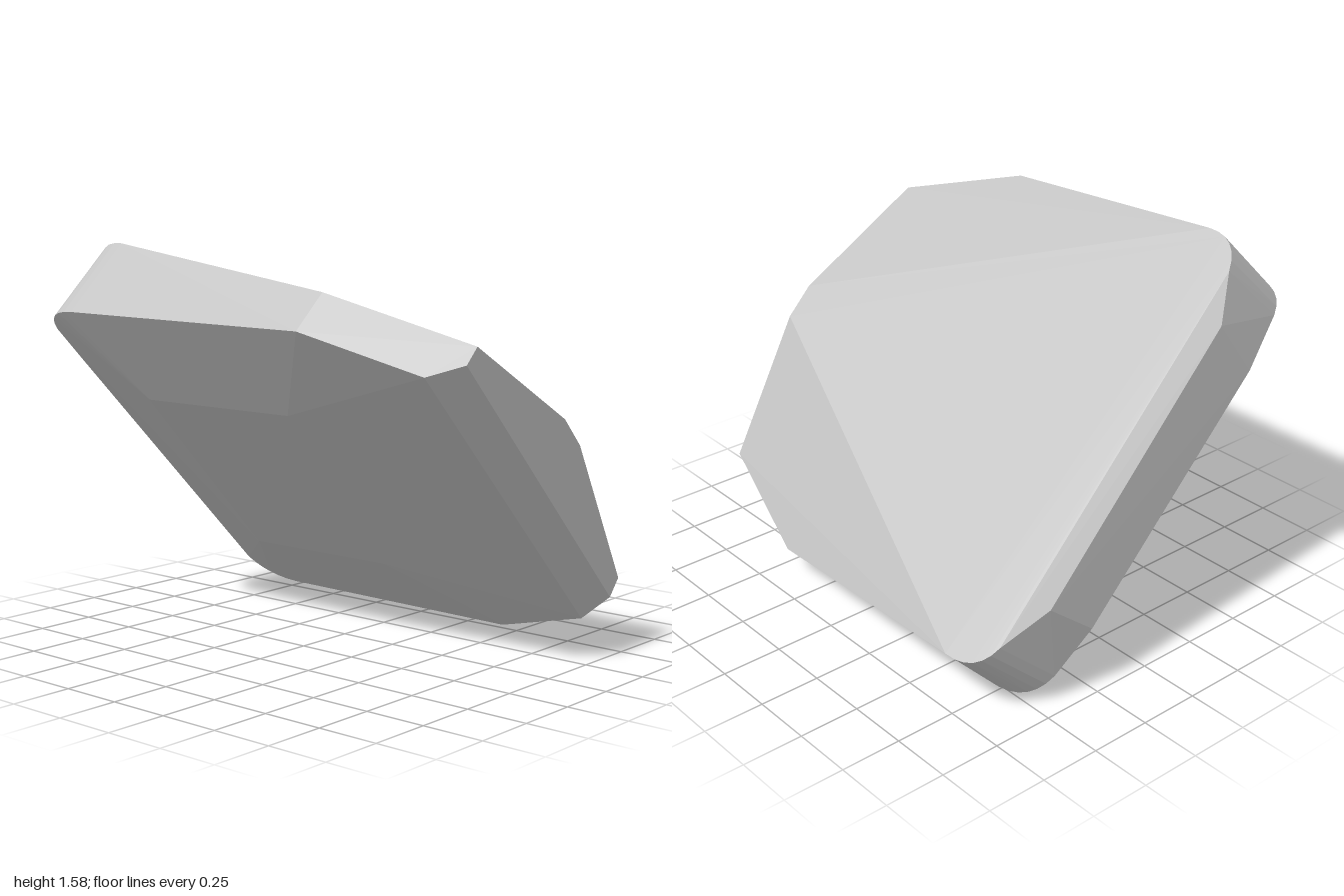
import * as THREE from 'three';
import { ConvexGeometry } from 'three/addons/geometries/ConvexGeometry.js';

const v = (p) => new THREE.Vector3(...p);

// Rounded corner between two points, pulled towards a control point
const roundCorner = (start, control, end) =>
  new THREE.QuadraticBezierCurve3(v(start), v(control), v(end)).getPoints(6);

export function createModel() {
  const stone = new THREE.MeshStandardMaterial({ color: 0xc4c4c4 });
  stone.name = 'stone';

  const points = [
    // Upper face: rounded back corners, bevelled front corners
    ...roundCorner([-0.52, 1.58, -0.73], [-0.525, 1.585, -0.87], [-0.43, 1.49, -0.915]),
    ...roundCorner([0.78, 0.28, -0.75], [0.785, 0.275, -0.91], [0.69, 0.365, -0.945]),
    ...[
      [0.1, 0.96, 0.985], [0.21, 0.85, 0.98],
      [-0.465, 1.27, 1.0], [-0.63, 1.44, 0.44],
      [0.67, 0.135, 0.4], [0.515, 0.29, 0.97],
    ].map(v),
    // Back face
    ...[
      [-0.34, 1.32, -0.975], [0.5, 0.47, -1.0],
      [-0.51, 1.09, -0.98], [0.29, 0.3, -1.0],
    ].map(v),
    // Lower rim
    ...roundCorner([-0.78, 1.32, -0.74], [-0.78, 1.32, -0.89], [-0.7, 1.24, -0.92]),
    ...roundCorner([0.525, 0.015, -0.75], [0.515, 0.025, -0.91], [0.42, 0.12, -0.945]),
    ...[
      [-0.77, 1.31, 0.44], [-0.63, 1.17, 0.9], [-0.525, 1.21, 1.0],
      [0.45, 0.225, 0.975], [0.412, 0.13, 0.87], [0.54, 0.0, 0.4],
    ].map(v),
    // Shallow raised underside
    ...[
      [-0.5, 0.96, -0.6], [-0.5, 0.96, 0.15],
      [0.18, 0.27, -0.65], [0.18, 0.27, 0.05],
    ].map(v),
  ];

  const slab = new THREE.Mesh(new ConvexGeometry(points), stone);
  slab.name = 'stoneSlab';

  const model = new THREE.Group();
  model.name = 'tiltedStone';
  model.add(slab);
  return model;
}
